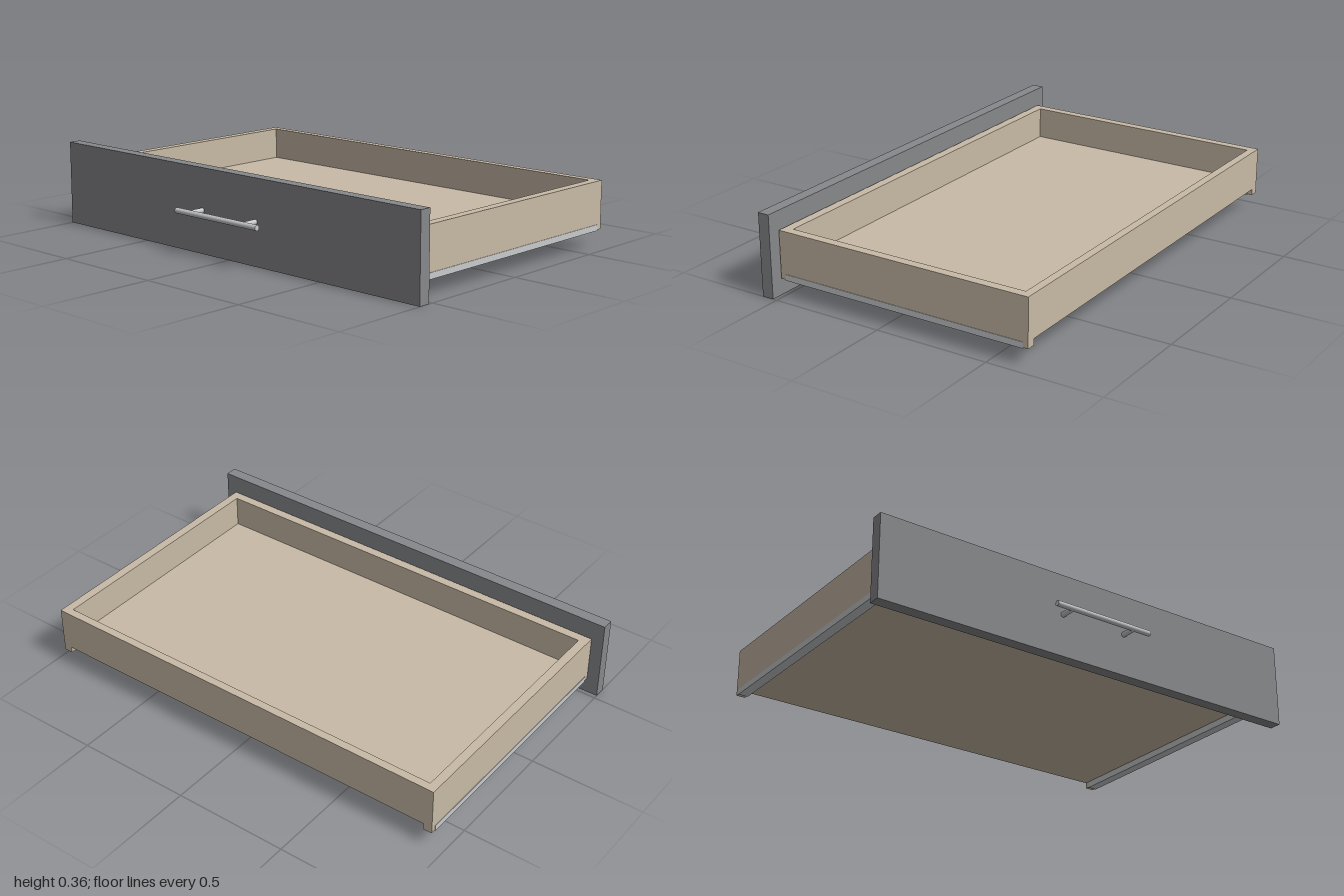
import * as THREE from 'three';

const material = (name, color) => {
  const m = new THREE.MeshStandardMaterial({ color });
  m.name = name;
  return m;
};

export function createModel() {
  const wood = material('beige board', 0xc8baa6);
  const grey = material('grey front', 0x87888b);
  const metal = material('light metal', 0xc9cacc);

  const drawer = new THREE.Group();
  drawer.name = 'drawer';

  // Box given by its lower and upper limits on each axis
  const board = (name, mat, [x0, x1], [y0, y1], [z0, z1], parent = drawer) => {
    const mesh = new THREE.Mesh(new THREE.BoxGeometry(x1 - x0, y1 - y0, z1 - z0), mat);
    mesh.position.set((x0 + x1) / 2, (y0 + y1) / 2, (z0 + z1) / 2);
    mesh.name = name;
    parent.add(mesh);
  };

  // Front panel, standing slightly clear of the box
  board('frontPanel', grey, [-1, 1], [0, 0.36], [0.518, 0.57]);

  // Box: end walls and floor sit between the deeper side walls
  const inner = 0.91;
  board('boxFront', wood, [-inner, inner], [0.1, 0.28], [0.473, 0.513]);
  board('boxBack', wood, [-inner, inner], [0.1, 0.28], [-0.652, -0.617]);
  board('floor', wood, [-inner, inner], [0.1, 0.14], [-0.617, 0.473]);

  // Handle: bar on two posts
  const handle = new THREE.Group();
  handle.name = 'handle';
  handle.position.set(0, 0.182, 0.638);
  drawer.add(handle);
  const bar = new THREE.Mesh(new THREE.CylinderGeometry(0.012, 0.012, 0.464, 24), metal);
  bar.rotation.z = Math.PI / 2;
  bar.name = 'handleBar';
  handle.add(bar);

  for (const side of [-1, 1]) {
    const label = side > 0 ? 'left' : 'right';
    const span = (a, b) => (side > 0 ? [a, b] : [-b, -a]);
    board(label + 'Wall', wood, span(inner, 0.949), [0.073, 0.28], [-0.652, 0.513]);
    // Runner let into the bottom edge of the wall
    board(label + 'Runner', metal, span(inner - 0.002, 0.951), [0.07, 0.096], [-0.63, 0.49]);

    const post = new THREE.Mesh(new THREE.CylinderGeometry(0.011, 0.011, 0.07, 20), metal);
    post.rotation.x = Math.PI / 2;
    post.position.set(side * 0.153, 0, -0.036);
    post.name = label + 'HandlePost';
    handle.add(post);
  }
  return drawer;
}
